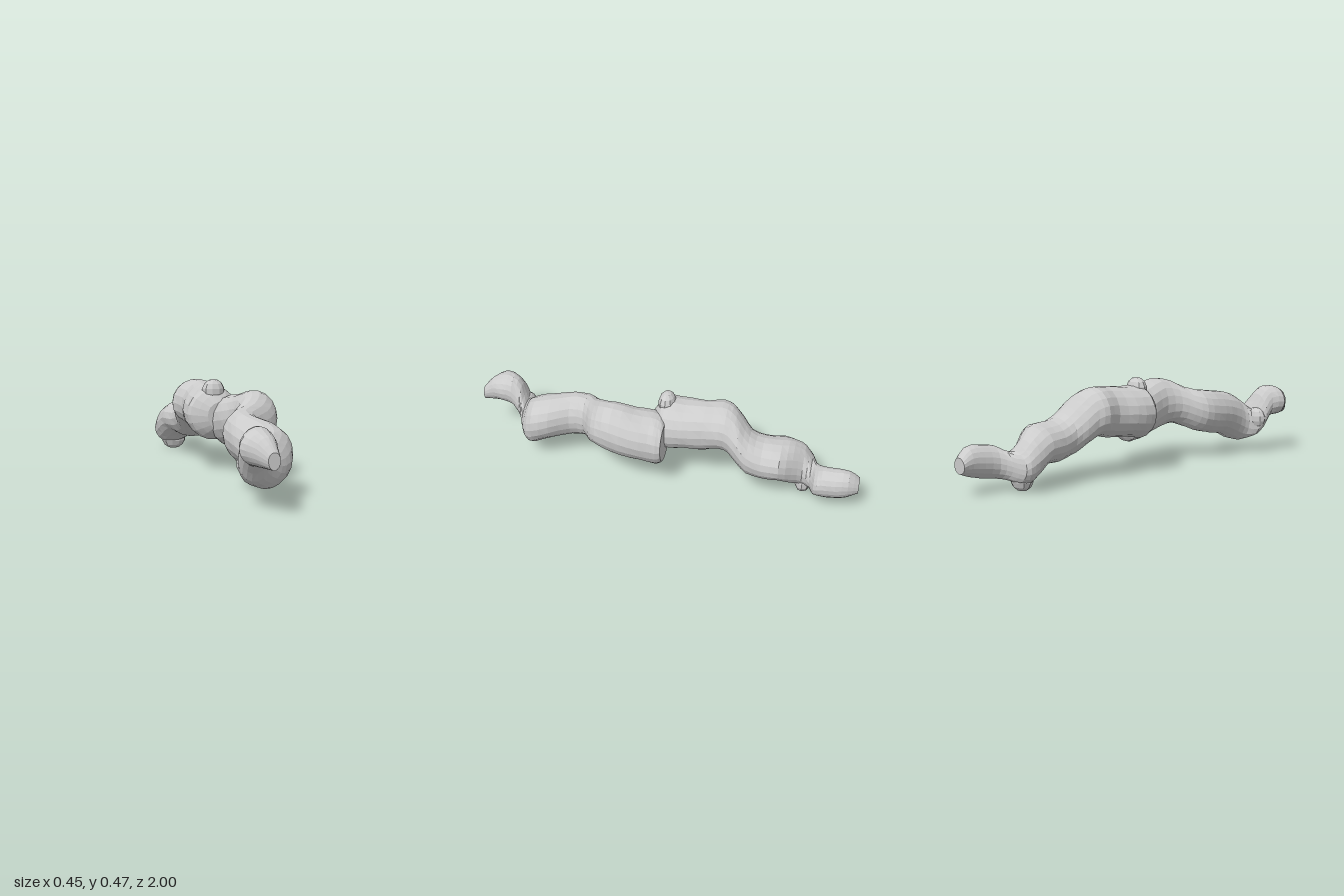
import * as THREE from 'three';

const SIDES = 18;
const material = new THREE.MeshStandardMaterial({ color: 0xcccccc, flatShading: true, side: THREE.DoubleSide });

// Cross-sections from front to back: [z, xMin, xMax, yMin, yMax]
const FRONT = [
  [1.0, -0.14, -0.085, 0.2, 0.275],
  [0.95, -0.18, -0.075, 0.2, 0.33],
  [0.89, -0.225, -0.055, 0.2, 0.357],
  [0.83, -0.195, -0.05, 0.185, 0.36],
  [0.785, -0.19, -0.035, 0.11, 0.32],
  [0.75, -0.17, 0.03, 0.08, 0.245],
  [0.72, -0.125, 0.08, 0.06, 0.285],
  [0.67, -0.115, 0.115, 0.075, 0.325],
  [0.58, -0.125, 0.105, 0.115, 0.345],
  [0.48, -0.13, 0.06, 0.13, 0.36],
  [0.4, -0.12, 0.075, 0.15, 0.37],
  [0.35, -0.08, 0.15, 0.175, 0.385],
  [0.3, -0.03, 0.195, 0.19, 0.415],
  [0.22, -0.005, 0.222, 0.17, 0.435],
  [0.12, -0.03, 0.224, 0.15, 0.41],
  [0.03, -0.05, 0.212, 0.13, 0.395],
  [-0.01, -0.04, 0.21, 0.13, 0.385],
  [-0.035, 0.0, 0.205, 0.16, 0.36],
];
const REAR = [
  [0.045, -0.07, 0.06, 0.22, 0.36],
  [0.0, -0.145, 0.1, 0.17, 0.42],
  [-0.04, -0.157, 0.12, 0.165, 0.43],
  [-0.12, -0.15, 0.12, 0.18, 0.43],
  [-0.22, -0.125, 0.11, 0.185, 0.44],
  [-0.3, -0.15, 0.11, 0.205, 0.442],
  [-0.35, -0.13, 0.11, 0.185, 0.43],
  [-0.4, -0.11, 0.135, 0.145, 0.385],
  [-0.45, -0.085, 0.15, 0.115, 0.33],
  [-0.52, -0.095, 0.15, 0.1, 0.3],
  [-0.61, -0.115, 0.148, 0.1, 0.295],
  [-0.67, -0.125, 0.1, 0.06, 0.275],
  [-0.72, -0.125, 0.06, 0.035, 0.24],
  [-0.76, -0.11, 0.08, 0.045, 0.19],
  [-0.785, -0.04, 0.135, 0.055, 0.195],
  [-0.82, 0.005, 0.145, 0.06, 0.215],
  [-0.89, 0.02, 0.15, 0.07, 0.225],
  [-0.95, 0.025, 0.14, 0.085, 0.222],
  [-1.0, 0.025, 0.11, 0.105, 0.18],
];

// Lofts a closed, lumpy tube through the cross-sections
function loft(name, sections) {
  const spine = new THREE.CatmullRomCurve3(
    sections.map(([z, x0, x1, y0, y1]) => new THREE.Vector3((x0 + x1) / 2, (y0 + y1) / 2, z)), false, 'catmullrom');
  const radii = new THREE.CatmullRomCurve3(
    sections.map(([, x0, x1, y0, y1]) => new THREE.Vector3((x1 - x0) / 2, (y1 - y0) / 2, 0)), false, 'catmullrom');
  const rings = (sections.length - 1) * 2;
  const positions = [], index = [];
  for (let i = 0; i <= rings; i++) {
    const c = spine.getPoint(i / rings), r = radii.getPoint(i / rings);
    for (let j = 0; j < SIDES; j++) {
      const a = (j / SIDES) * Math.PI * 2;
      // gentle surface unevenness
      const k = 1 + 0.02 * Math.sin(3 * a + i * 0.9) * Math.cos(i * 1.3);
      positions.push(c.x + r.x * k * Math.cos(a), c.y + r.y * k * Math.sin(a), c.z);
    }
  }
  for (let i = 0; i < rings; i++) {
    for (let j = 0; j < SIDES; j++) {
      const n = (j + 1) % SIDES;
      const a = i * SIDES + j, b = i * SIDES + n, c = a + SIDES, d = b + SIDES;
      index.push(a, c, b, b, c, d);
    }
  }
  // flat end caps
  const last = rings * SIDES;
  for (let j = 1; j < SIDES - 1; j++) {
    index.push(0, j, j + 1, last, last + j + 1, last + j);
  }
  const geometry = new THREE.BufferGeometry();
  geometry.setAttribute('position', new THREE.Float32BufferAttribute(positions, 3));
  geometry.setIndex(index);
  geometry.computeVertexNormals();
  const mesh = new THREE.Mesh(geometry, material);
  mesh.name = name;
  return mesh;
}

// Small knob partly sunk into the body
function knob(name, position, size) {
  const mesh = new THREE.Mesh(new THREE.SphereGeometry(1, 10, 7), material);
  mesh.name = name;
  mesh.position.set(...position);
  mesh.scale.set(...size);
  return mesh;
}

export function createModel() {
  const group = new THREE.Group();
  group.name = 'lumpyTube';
  group.add(
    loft('frontTube', FRONT),
    loft('rearTube', REAR),
    knob('topKnob', [-0.02, 0.41, -0.02], [0.06, 0.06, 0.045]),
    knob('bottomKnob', [-0.015, 0.06, -0.725], [0.07, 0.06, 0.045]),
    knob('chinKnob', [-0.13, 0.19, 0.765], [0.06, 0.06, 0.04]),
  );
  return group;
}
